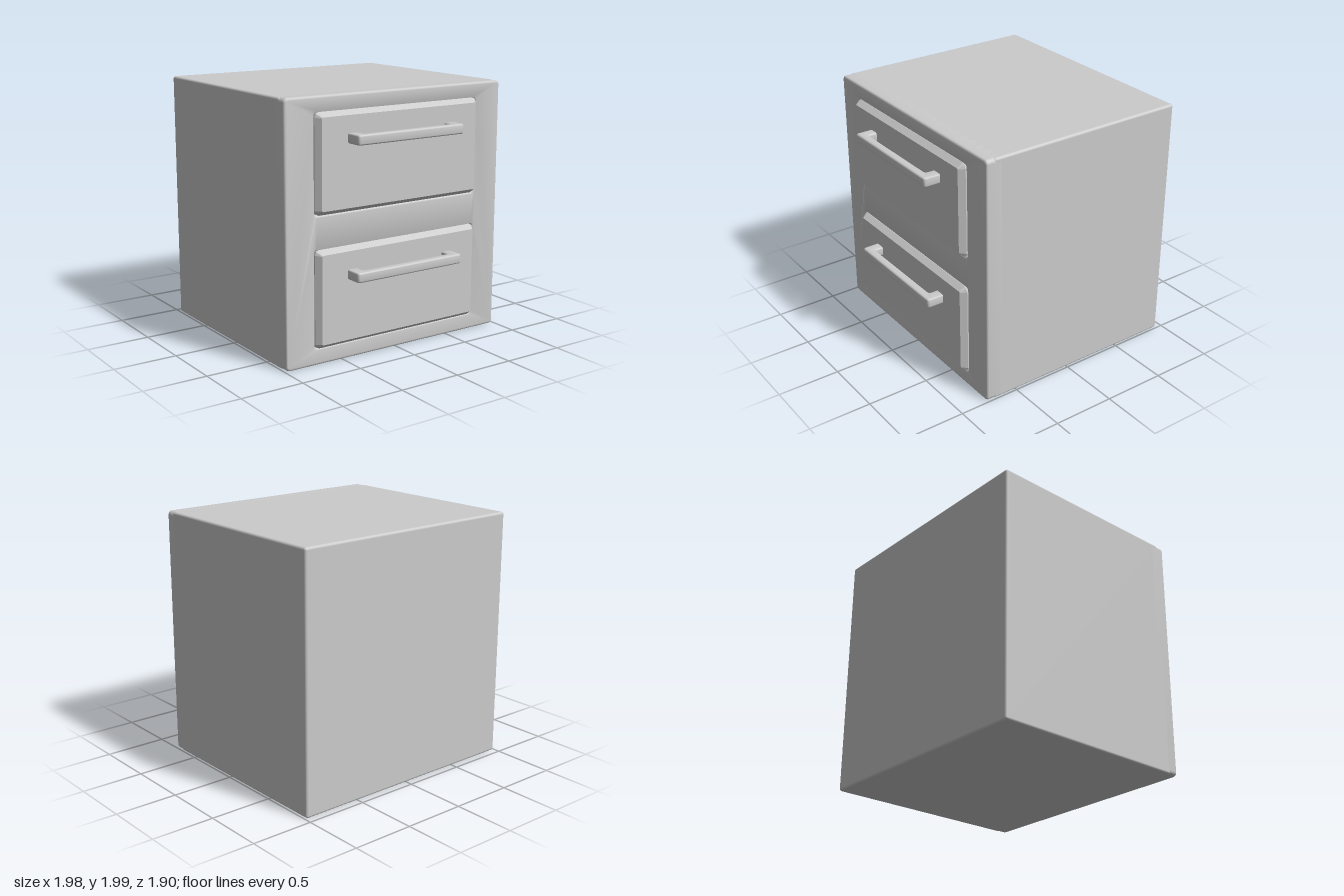
import * as THREE from 'three';
import { toCreasedNormals } from 'three/addons/utils/BufferGeometryUtils.js';
import { RoundedBoxGeometry } from 'three/addons/geometries/RoundedBoxGeometry.js';

const material = new THREE.MeshStandardMaterial({ color: 0xcccccc });

// Rectangle with rounded corners, as a Shape or a Path for holes
function roundedRect(Type, cx, cy, w, h, r) {
  const p = new Type();
  const x0 = cx - w / 2, x1 = cx + w / 2, y0 = cy - h / 2, y1 = cy + h / 2;
  p.moveTo(x0 + r, y0);
  p.lineTo(x1 - r, y0);
  p.absarc(x1 - r, y0 + r, r, -Math.PI / 2, 0);
  p.lineTo(x1, y1 - r);
  p.absarc(x1 - r, y1 - r, r, 0, Math.PI / 2);
  p.lineTo(x0 + r, y1);
  p.absarc(x0 + r, y1 - r, r, Math.PI / 2, Math.PI);
  p.lineTo(x0, y0 + r);
  p.absarc(x0 + r, y0 + r, r, Math.PI, Math.PI * 1.5);
  return p;
}

// Bevelled extrusion filling z = back..front, bevels included
function bevelled(shape, back, front, size, thickness, segments, curveSegments = 5) {
  const geometry = new THREE.ExtrudeGeometry(shape, {
    depth: front - back - 2 * thickness, bevelEnabled: true, bevelSize: size,
    bevelThickness: thickness, bevelSegments: segments, curveSegments,
  });
  geometry.translate(0, 0, back + thickness);
  return geometry;
}

function add(parent, name, geometry) {
  const mesh = new THREE.Mesh(geometry, material);
  mesh.name = name;
  parent.add(mesh);
  return mesh;
}

// U-shaped pull seen from above: y of the shape points forward
function handleGeometry() {
  const b = 0.012, x = 0.485 - b, inX = 0.4 + b, back = 0.805 + b, front = 0.95 - b, inZ = 0.885 + b, r = 0.035;
  const s = new THREE.Shape();
  s.moveTo(-x, back);
  s.lineTo(-inX, back);
  s.lineTo(-inX, inZ - r);
  s.quadraticCurveTo(-inX, inZ, -inX + r, inZ);
  s.lineTo(inX - r, inZ);
  s.quadraticCurveTo(inX, inZ, inX, inZ - r);
  s.lineTo(inX, back);
  s.lineTo(x, back);
  s.lineTo(x, front - 0.012);
  s.quadraticCurveTo(x, front, x - 0.012, front);
  s.lineTo(-x + 0.012, front);
  s.quadraticCurveTo(-x, front, -x, front - 0.012);
  s.closePath();
  const geometry = bevelled(s, -0.0375, 0.0375, b, b, 3);
  geometry.rotateX(Math.PI / 2);
  return toCreasedNormals(geometry, 0.7);
}

export function createModel() {
  const model = new THREE.Group();
  model.name = 'drawerCabinet';

  // Solid carcass; its front face is the floor of the drawer recesses
  const carcass = add(model, 'carcass', new RoundedBoxGeometry(1.98, 1.995, 1.65, 4, 0.02));
  carcass.position.set(0, 1.0, -0.125);

  // Front frame with two softly edged openings
  const edge = 0.018;
  const frame = roundedRect(THREE.Shape, 0, 1.0, 1.98 - 2 * edge, 1.995 - 2 * edge, 0.015);
  for (const y of [0.5025, 1.5025]) {
    frame.holes.push(roundedRect(THREE.Path, 0, y, 1.516, 0.772, 0.035));
  }
  add(model, 'frontFrame', toCreasedNormals(bevelled(frame, 0.62, 0.767, edge, edge, 4), 0.7));

  // Drawer fronts with a chamfered border, and their pulls
  const pull = handleGeometry();
  const panel = toCreasedNormals(
    bevelled(roundedRect(THREE.Shape, 0, 0, 1.42, 0.68, 0.008), 0.6, 0.815, 0.034, 0.045, 1, 1), 0.3);
  [['lower', 0.505, 0.67], ['upper', 1.508, 1.681]].forEach(([level, drawerY, handleY]) => {
    const drawer = new THREE.Group();
    drawer.name = level + 'Drawer';
    add(drawer, level + 'DrawerFront', panel).position.y = drawerY;
    add(drawer, level + 'Handle', pull).position.y = handleY;
    model.add(drawer);
  });

  return model;
}
